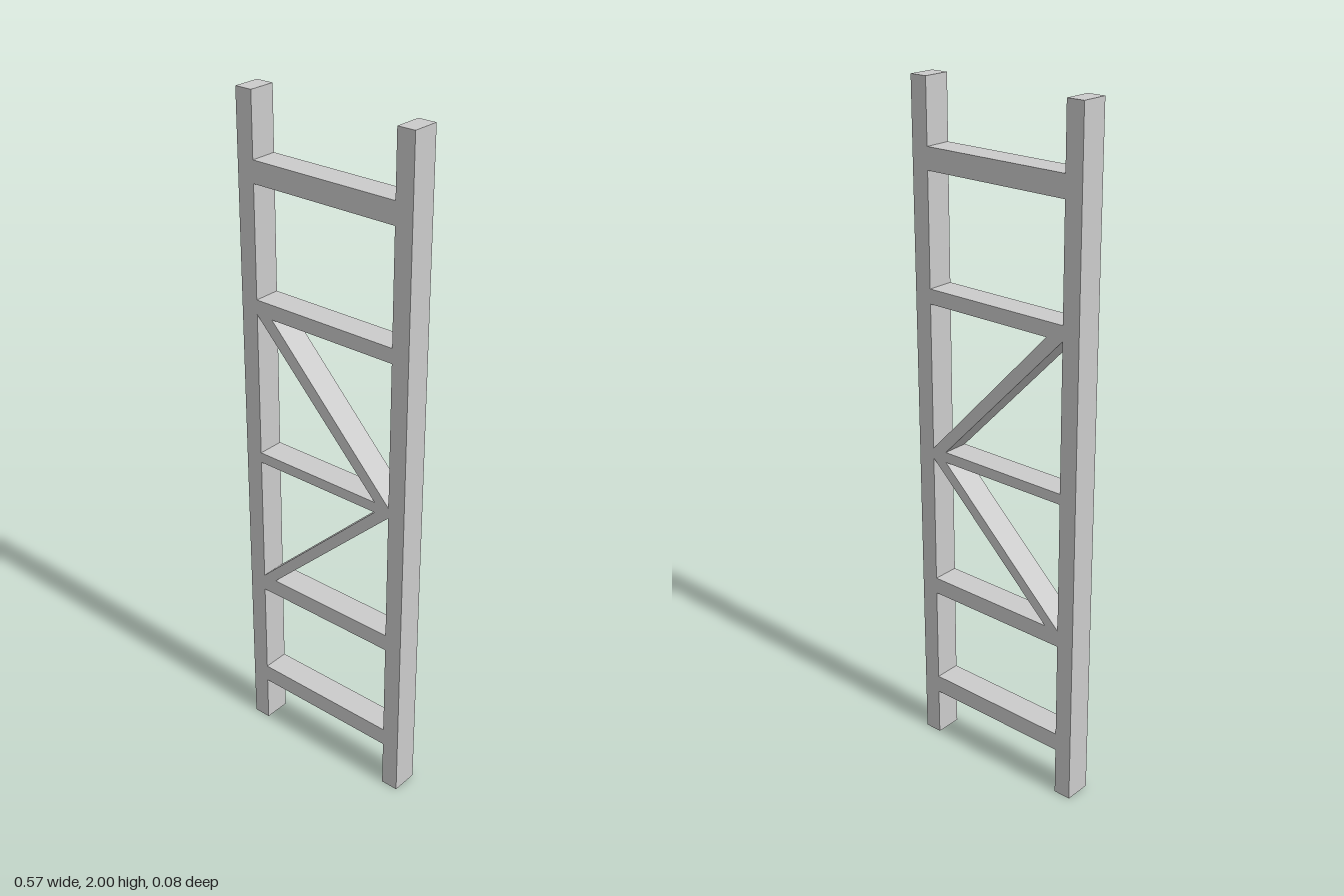
import * as THREE from 'three';

const DEPTH = 0.08;
const INNER = 0.23; // inner face of each post
const OUTER = 0.283; // outer face of each post

export function createModel() {
  const group = new THREE.Group();
  group.name = 'ladderFrame';
  const material = new THREE.MeshStandardMaterial({ color: 0xcccccc, flatShading: true });

  const addBox = (name, x0, x1, y0, y1) => {
    const mesh = new THREE.Mesh(new THREE.BoxGeometry(x1 - x0, y1 - y0, DEPTH), material);
    mesh.position.set((x0 + x1) / 2, (y0 + y1) / 2, 0);
    mesh.name = name;
    group.add(mesh);
  };

  // Flat bar cut to the given outline, as deep as the posts
  const addBrace = (name, corners) => {
    const shape = new THREE.Shape(corners.map(([x, y]) => new THREE.Vector2(x, y)));
    const geometry = new THREE.ExtrudeGeometry(shape, { depth: DEPTH, bevelEnabled: false });
    geometry.translate(0, 0, -DEPTH / 2);
    const mesh = new THREE.Mesh(geometry, material);
    mesh.name = name;
    group.add(mesh);
  };

  // Upright posts
  addBox('leftPost', INNER, OUTER, 0, 2);
  addBox('rightPost', -OUTER, -INNER, 0, 2);

  // Rungs: bottom and top heights
  const rungs = [
    ['bottomRung', 0.146, 0.2],
    ['lowerRung', 0.492, 0.542],
    ['middleRung', 0.932, 0.963],
    ['upperRung', 1.391, 1.434],
    ['topRung', 1.757, 1.82],
  ];
  for (const [name, y0, y1] of rungs) addBox(name, -INNER, INNER, y0, y1);

  // Diagonal braces meeting at the left end of the middle rung
  addBrace('upperBrace', [[-INNER, 1.391], [0.183, 0.963], [INNER, 0.963], [-0.177, 1.391]]);
  addBrace('lowerBrace', [[-INNER, 0.542], [-0.185, 0.542], [INNER, 0.932], [0.183, 0.932]]);

  return group;
}
